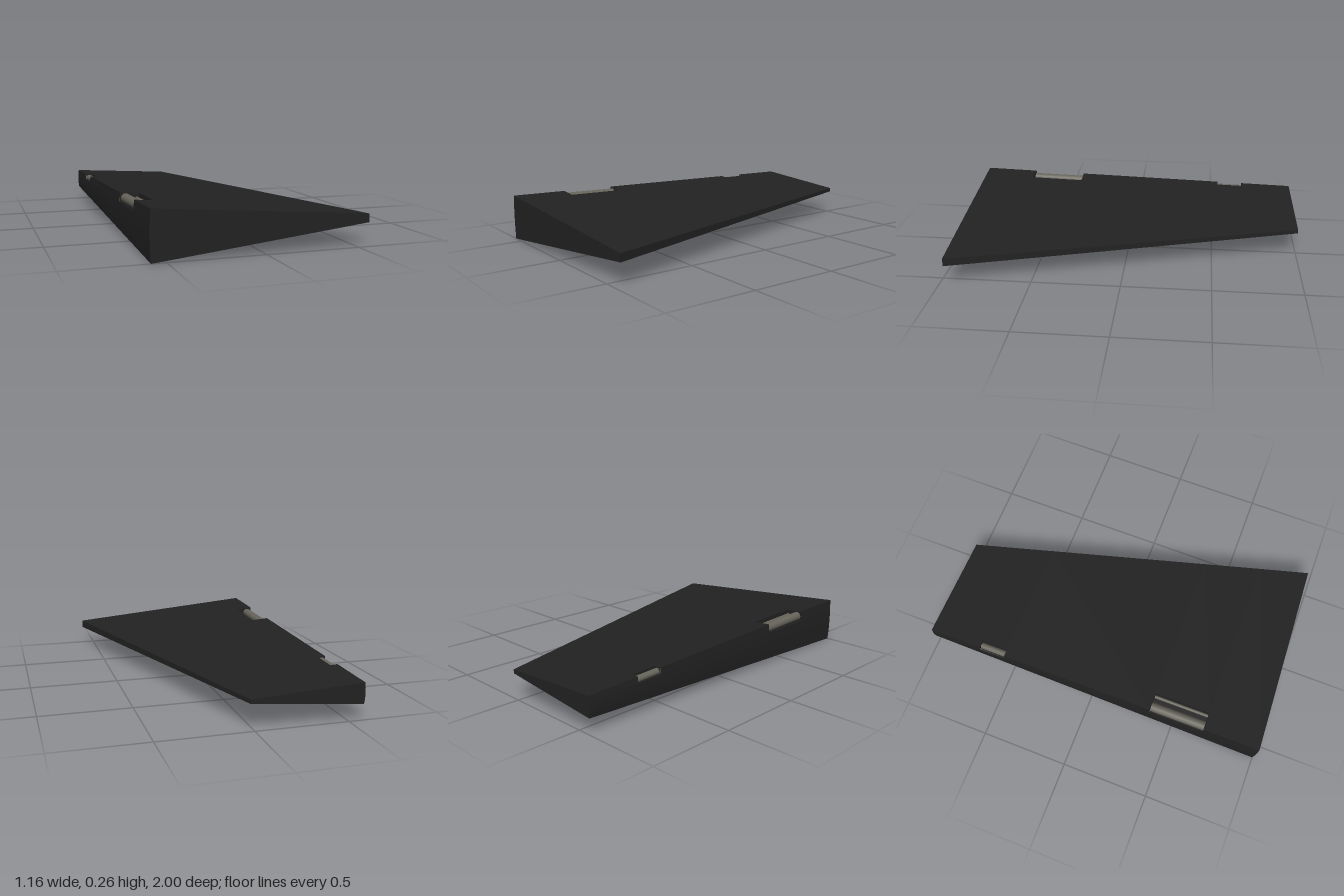
import * as THREE from 'three';

const lerp = THREE.MathUtils.lerp;

// Recesses in the leading edge: z range, inner wall x, depth below the top skin
const notches = [
  { z0: -0.69, z1: -0.535, x: -0.535, depth: 0.032 },
  { z0: 0.36, z1: 0.68, x: -0.473, depth: 0.045 },
];

// Wedge dimensions at a station along the span
function station(z) {
  const t = (z + 1) / 2;
  return {
    bottom: lerp(0.088, 0.003, t), top: lerp(0.202, 0.26, t),
    edgeX: lerp(-0.578, -0.574, t),
    tailX: lerp(0.025, 0.587, t),
    tailBottom: lerp(0.145, 0.12, t), tailTop: lerp(0.167, 0.165, t),
  };
}

// Point on the top skin
function topY(x, z) {
  const s = station(z);
  return lerp(s.top, s.tailTop, (x - s.edgeX) / (s.tailX - s.edgeX));
}

// Closed outline, counterclockwise from the front; a notch cuts its upper leading corner
function section(z, notch) {
  const s = station(z);
  const isRoot = z === 1;
  const tailX = isRoot ? 0.576 : s.tailX;
  const pts = [[s.edgeX, s.bottom], [tailX, s.tailBottom], [tailX, s.tailTop]];
  if (notch) {
    const floor = s.top - notch.depth;
    pts.push([notch.x, topY(notch.x, z)], [notch.x, floor], [s.edgeX, floor]);
  } else {
    pts.push([s.edgeX, s.top]);
  }
  // Slightly bulged leading face
  for (const f of [0.75, 0.5, 0.25]) {
    pts.push([s.edgeX - 0.02 * f * (1 - f), lerp(s.bottom, s.top, f)]);
  }
  // The root face is swept back toward the trailing edge
  return pts.map(([x, y]) =>
    new THREE.Vector3(x, y, isRoot ? 1 - 0.035 * (x - s.edgeX) / 1.15 : z));
}

function createBodyGeometry() {
  const pos = [];
  const face = (pts) => {
    for (let i = 1; i < pts.length - 1; i++) {
      for (const p of [pts[0], pts[i], pts[i + 1]]) pos.push(p.x, p.y, p.z);
    }
  };
  const span = (z0, z1, notch) => {
    const a = section(z0, notch), b = section(z1, notch);
    a.forEach((p, i) => {
      const j = (i + 1) % a.length;
      face([p, a[j], b[j], b[i]]);
    });
  };

  // Skin between and along the recesses
  let z = -1;
  for (const n of notches) {
    span(z, n.z0);
    span(n.z0, n.z1, n);
    z = n.z1;
    // Recess end walls
    for (const end of [n.z0, n.z1]) {
      const s = section(end, n);
      const corner = new THREE.Vector3(s[5].x, station(end).top, end);
      const wall = [s[5], s[4], s[3], corner];
      face(end === n.z0 ? wall : wall.reverse());
    }
  }
  span(z, 1);

  // Tip and root faces
  face(section(-1).reverse());
  face(section(1));

  const geo = new THREE.BufferGeometry();
  geo.setAttribute('position', new THREE.Float32BufferAttribute(pos, 3));
  geo.computeVertexNormals();
  return geo;
}

export function createModel() {
  const model = new THREE.Group();
  model.name = 'controlSurface';
  const skin = new THREE.MeshStandardMaterial({ color: 0x222222 });
  skin.name = 'black skin';
  const metal = new THREE.MeshStandardMaterial({ color: 0x66645a });
  metal.name = 'hinge metal';

  const body = new THREE.Mesh(createBodyGeometry(), skin);
  body.name = 'wedgeBody';
  model.add(body);

  // Hinge rods lie along the recesses, following the slope of the edge
  const rod = (name, n, x, radius, lift) => {
    const zc = (n.z0 + n.z1) / 2;
    const geo = new THREE.CylinderGeometry(radius, radius, n.z1 - n.z0 - 0.004, 20);
    const mesh = new THREE.Mesh(geo, metal);
    mesh.name = name;
    mesh.position.set(x, station(zc).top - n.depth + lift, zc);
    mesh.rotation.x = Math.PI / 2 - 0.029;
    model.add(mesh);
  };
  rod('smallHingeRod', notches[0], -0.557, 0.018, 0.008);
  rod('largeHingeRod', notches[1], -0.546, 0.026, 0.012);
  rod('largeHingePin', notches[1], -0.485, 0.009, 0.008);

  return model;
}
